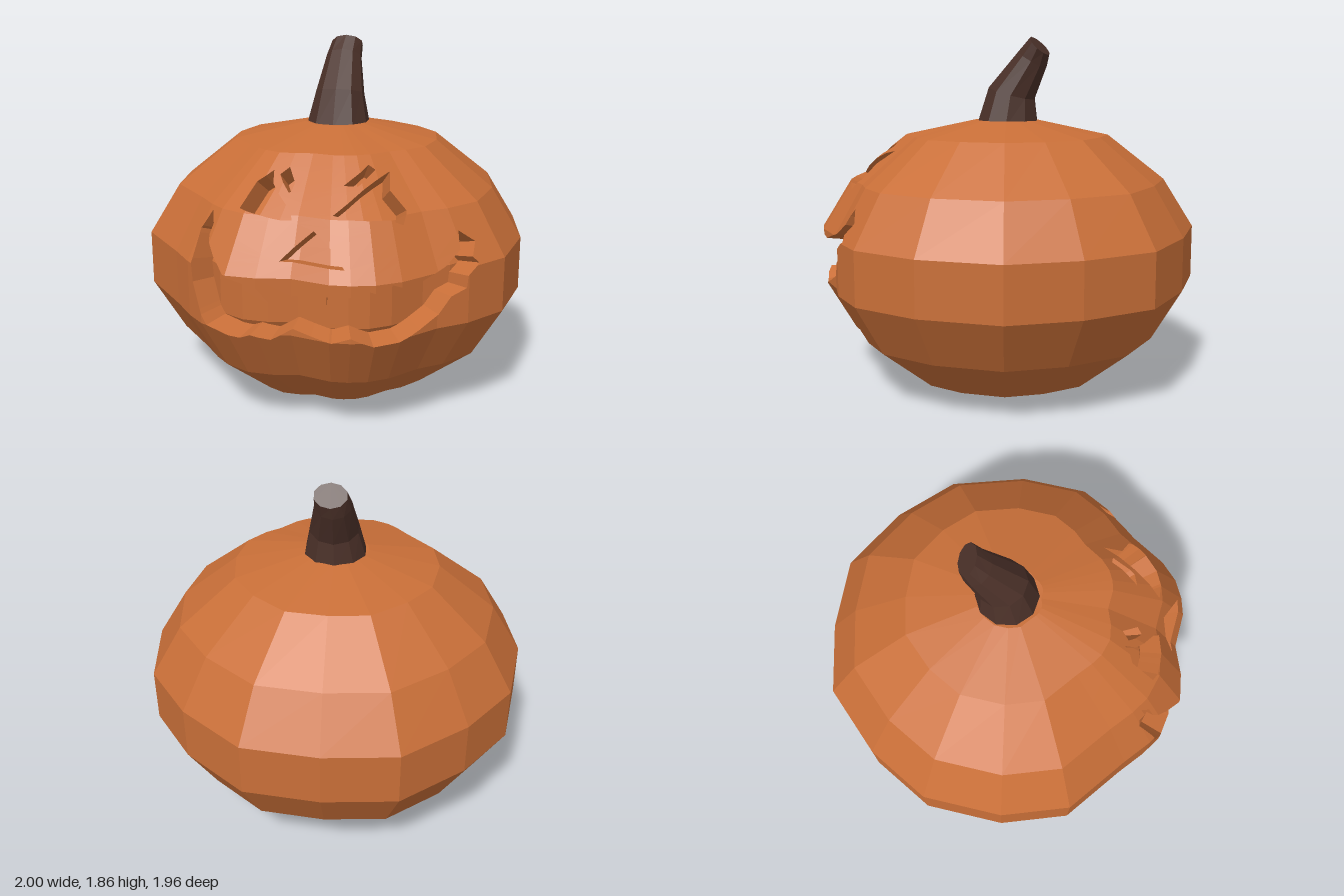
import * as THREE from 'three';

// Equator outline [x, z]: from the right side, across the lobed front, round the back
const OUTLINE = [
  [-1, -0.02], [-0.95, 0.34], [-0.7, 0.63], [-0.59, 0.77], [-0.5, 0.86], [-0.35, 0.94],
  [-0.2, 0.95], [-0.04, 0.925], [0.15, 0.975], [0.25, 0.97], [0.36, 0.94], [0.47, 0.87],
  [0.62, 0.71], [0.76, 0.61], [0.92, 0.42], [0.995, 0.06], [0.95, -0.36], [0.735, -0.67],
  [0.42, -0.93], [0.03, -0.985], [-0.35, -0.96], [-0.68, -0.72], [-0.915, -0.43],
];
// Height rows [y, outline scale]
const ROWS = [[0, 0], [0.05, 0.54], [0.29, 0.84], [0.56, 1], [0.84, 1], [1.1, 0.84],
  [1.34, 0.54], [1.42, 0.17], [1.41, 0]];
// Part of the (u, v) grid that carries the carved face
const FACE = { u0: 1, u1: 14, v0: 1, v1: 6 };
const INSET = 0.87;

// Carved openings, drawn in front coordinates [x, y]
const CARVINGS = {
  mouth: [
    [-0.48, 1.08], [-0.54, 0.99], [-0.56, 0.86], [-0.555, 0.75], [-0.51, 0.63], [-0.47, 0.56],
    [-0.36, 0.54], [-0.29, 0.53], [-0.235, 0.555], [-0.14, 0.53], [-0.03, 0.595], [0.06, 0.575],
    [0.16, 0.555], [0.25, 0.585], [0.35, 0.535], [0.46, 0.54], [0.545, 0.58], [0.625, 0.63],
    [0.68, 0.71], [0.75, 0.74], [0.755, 0.8], [0.8, 0.85], [0.77, 0.88], [0.775, 0.94],
    [0.695, 1.0], [0.71, 0.92], [0.65, 0.86], [0.58, 0.83], [0.51, 0.8], [0.41, 0.84],
    [0.39, 0.79], [0.33, 0.81], [0.235, 0.78], [0.14, 0.78], [0.135, 0.73], [0.085, 0.73],
    [0.08, 0.78], [-0.03, 0.755], [-0.14, 0.72], [-0.2, 0.79], [-0.35, 0.83], [-0.43, 0.9],
    [-0.475, 0.98], [-0.46, 1.03],
  ],
  nose: [[-0.1, 0.91], [0.215, 0.9], [0.05, 1.045]],
  rightEye: [[-0.325, 1.115], [-0.2, 1.095], [-0.06, 1.07], [-0.07, 1.11], [-0.14, 1.175],
    [-0.185, 1.22], [-0.195, 1.27], [-0.27, 1.22]],
  rightBrow: [[-0.16, 1.255], [-0.1, 1.185], [-0.065, 1.2], [-0.12, 1.285]],
  leftEye: [[0.135, 1.115], [0.225, 1.1], [0.395, 1.09], [0.45, 1.06], [0.455, 1.115],
    [0.37, 1.195], [0.355, 1.265], [0.255, 1.21]],
  leftBrow: [[0.16, 1.225], [0.225, 1.22], [0.29, 1.28], [0.255, 1.3]],
};

const lerp = THREE.MathUtils.lerp;

// Grid position to the faceted pumpkin surface
function surface(u, v) {
  const i = Math.floor(u), r = Math.min(Math.floor(v), ROWS.length - 2);
  const a = OUTLINE[i % OUTLINE.length], b = OUTLINE[(i + 1) % OUTLINE.length];
  const s = lerp(ROWS[r][1], ROWS[r + 1][1], v - r);
  return new THREE.Vector3(
    lerp(a[0], b[0], u - i) * s, lerp(ROWS[r][0], ROWS[r + 1][0], v - r), lerp(a[1], b[1], u - i) * s);
}

// Same surface pulled in towards the middle, for the backs of the carvings
function deepSurface(u, v) {
  const p = surface(u, v);
  return p.set(p.x * INSET, 0.7 + (p.y - 0.7) * INSET, p.z * INSET);
}

// Front coordinates to grid position
function toGrid([x, y]) {
  let r = FACE.v0, i = FACE.u0;
  while (y > ROWS[r + 1][0]) r++;
  const f = (y - ROWS[r][0]) / (ROWS[r + 1][0] - ROWS[r][0]);
  const X = x / lerp(ROWS[r][1], ROWS[r + 1][1], f);
  while (X > OUTLINE[i + 1][0]) i++;
  return new THREE.Vector2(i + (X - OUTLINE[i][0]) / (OUTLINE[i + 1][0] - OUTLINE[i][0]), r + f);
}

// Collects flat polygons into one unindexed geometry
function addPolygon(out, pts) {
  for (let i = 1; i < pts.length - 1; i++) {
    const tri = new THREE.Triangle(pts[0], pts[i], pts[i + 1]);
    if (tri.getArea() > 1e-8) for (const p of [tri.a, tri.b, tri.c]) out.push(p.x, p.y, p.z);
  }
}

function makeMesh(name, positions, material) {
  const g = new THREE.BufferGeometry();
  g.setAttribute('position', new THREE.Float32BufferAttribute(positions, 3));
  g.computeVertexNormals();
  const mesh = new THREE.Mesh(g, material);
  mesh.name = name;
  return mesh;
}

// Keeps the part of a convex polygon where sign * (axis - limit) >= 0
function clip(poly, axis, limit, sign) {
  const res = [];
  poly.forEach((p, i) => {
    const q = poly[(i + 1) % poly.length];
    const dp = sign * (p[axis] - limit), dq = sign * (q[axis] - limit);
    if (dp >= 0) res.push(p);
    if (dp * dq < 0) res.push(p.clone().lerp(q, dp / (dp - dq)));
  });
  return res;
}

// Triangulates a grid region and bends it over the facets cell by cell
function addRegion(out, contour, holes, map) {
  const all = [contour, ...holes].flat();
  for (const face of THREE.ShapeUtils.triangulateShape(contour, holes)) {
    const tri = face.map((k) => all[k]);
    if (THREE.ShapeUtils.area(tri) < 0) tri.reverse();
    for (let u = FACE.u0; u < FACE.u1; u++) {
      const column = clip(clip(tri, 'x', u, 1), 'x', u + 1, -1);
      if (column.length < 3) continue;
      for (let v = FACE.v0; v < FACE.v1; v++) {
        const cell = clip(clip(column, 'y', v, 1), 'y', v + 1, -1);
        if (cell.length > 2) addPolygon(out, cell.map((p) => map(p.x, p.y)));
      }
    }
  }
}

// Cut sides of a carving, split where they cross facet edges
function addWalls(out, hole) {
  hole.forEach((p, i) => {
    const q = hole[(i + 1) % hole.length];
    const stops = [0, 1];
    for (const axis of ['x', 'y']) {
      const lo = Math.min(p[axis], q[axis]), hi = Math.max(p[axis], q[axis]);
      for (let k = Math.ceil(lo); k < hi; k++) {
        if (k > lo) stops.push((k - p[axis]) / (q[axis] - p[axis]));
      }
    }
    stops.sort((a, b) => a - b);
    for (let k = 0; k < stops.length - 1; k++) {
      const a = p.clone().lerp(q, stops[k]), b = p.clone().lerp(q, stops[k + 1]);
      addPolygon(out, [surface(a.x, a.y), surface(b.x, b.y), deepSurface(b.x, b.y), deepSurface(a.x, a.y)]);
    }
  });
}

// Leaning stem: rings given by front and back points [z, y], half width and x
function stemPositions() {
  const rings = [
    { f: [0.16, 1.39], b: [-0.18, 1.39], w: 0.172, x: 0.005 },
    { f: [0.09, 1.6], b: [-0.165, 1.53], w: 0.13, x: 0.01 },
    { f: [-0.08, 1.79], b: [-0.23, 1.7], w: 0.095, x: 0.01 },
    { f: [-0.15, 1.86], b: [-0.245, 1.765], w: 0.085, x: 0.02 },
  ];
  const sides = 10, out = [];
  const point = ({ f, b, w, x }, k) => {
    const a = (k / sides) * Math.PI * 2, t = (1 - Math.cos(a)) / 2;
    return new THREE.Vector3(x + w * Math.sin(a), lerp(f[1], b[1], t), lerp(f[0], b[0], t));
  };
  for (let r = 0; r < rings.length - 1; r++) {
    for (let k = 0; k < sides; k++) {
      addPolygon(out, [point(rings[r], k), point(rings[r], k + 1), point(rings[r + 1], k + 1), point(rings[r + 1], k)]);
    }
  }
  addPolygon(out, Array.from({ length: sides }, (_, k) => point(rings[3], k)));
  return out;
}

export function createModel() {
  const orange = new THREE.MeshStandardMaterial({ color: 0xc96f38 });
  orange.name = 'pumpkinOrange';
  const brown = new THREE.MeshStandardMaterial({ color: 0x4a3028 });
  brown.name = 'stemBrown';
  const model = new THREE.Group();
  model.name = 'carvedPumpkin';

  // Plain facets of the shell
  const shell = [];
  for (let u = 0; u < OUTLINE.length; u++) {
    for (let v = 0; v < ROWS.length - 1; v++) {
      if (u >= FACE.u0 && u < FACE.u1 && v >= FACE.v0 && v < FACE.v1) continue;
      addPolygon(shell, [surface(u, v), surface(u + 1, v), surface(u + 1, v + 1), surface(u, v + 1)]);
    }
  }
  model.add(makeMesh('shell', shell, orange));

  // Face skin with its openings, and the recess behind each opening
  const { u0, u1, v0, v1 } = FACE;
  const border = [[u0, v0], [u1, v0], [u1, v1], [u0, v1]].map(([u, v]) => new THREE.Vector2(u, v));
  const holes = [];
  for (const [name, points] of Object.entries(CARVINGS)) {
    const hole = points.map(toGrid);
    if (THREE.ShapeUtils.area(hole) < 0) hole.reverse();
    holes.push(hole);
    const recess = [];
    addWalls(recess, hole);
    addRegion(recess, hole, [], deepSurface);
    model.add(makeMesh(name, recess, orange));
  }
  const skin = [];
  addRegion(skin, border, holes, surface);
  model.add(makeMesh('faceSkin', skin, orange));

  model.add(makeMesh('stem', stemPositions(), brown));
  return model;
}
